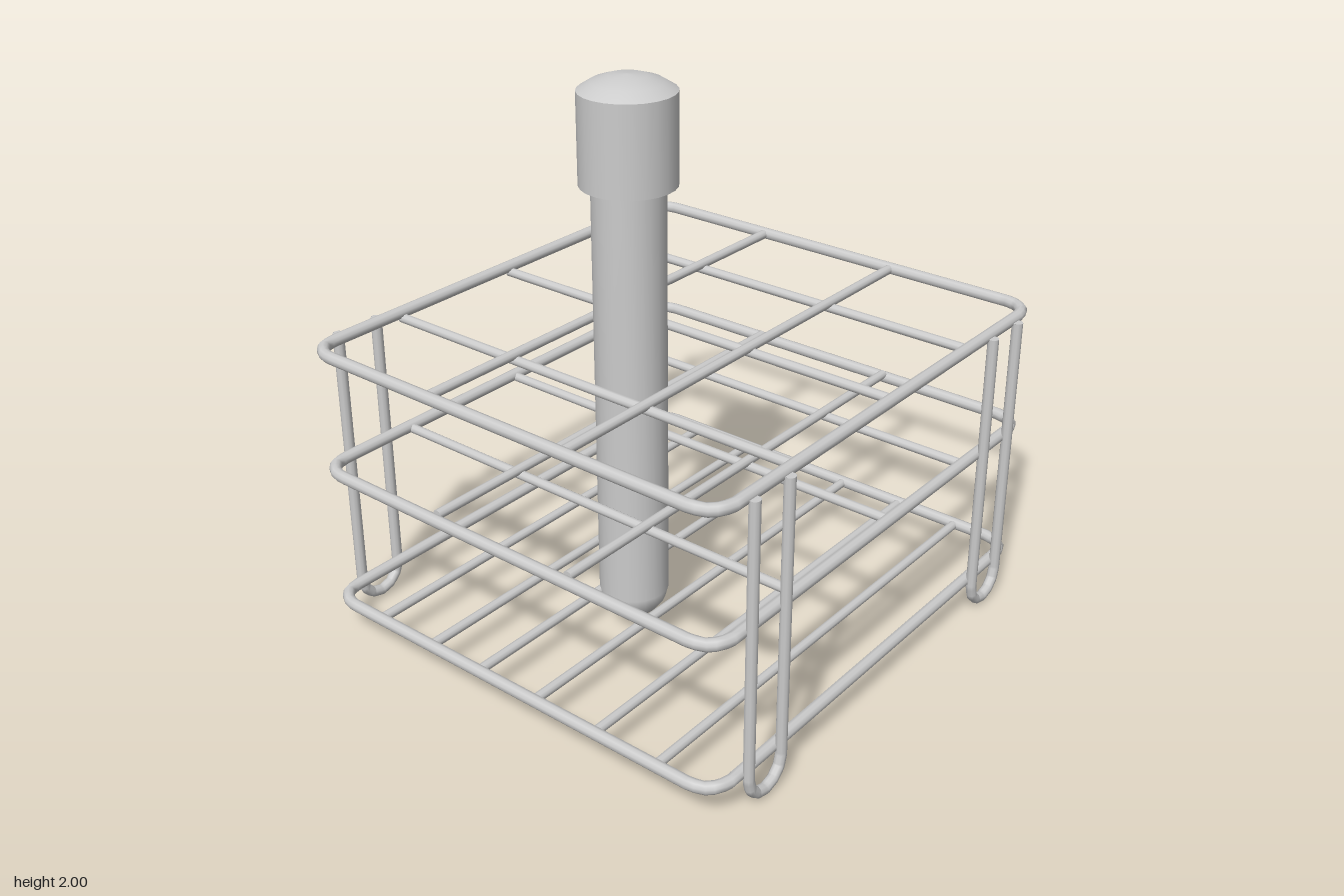
import * as THREE from 'three';

const material = new THREE.MeshStandardMaterial({ color: 0xcccccc, side: THREE.DoubleSide });

function addMesh(parent, name, geometry) {
  const mesh = new THREE.Mesh(geometry, material);
  mesh.name = name;
  parent.add(mesh);
  return mesh;
}

// Path of straight pieces joined end to end, so bends stay faceted
function polyline(points, closed = false) {
  const path = new THREE.CurvePath();
  const count = closed ? points.length : points.length - 1;
  for (let i = 0; i < count; i++) {
    path.add(new THREE.LineCurve3(points[i], points[(i + 1) % points.length]));
  }
  return path;
}

// Rectangular wire hoop with rounded corners
function hoop(parent, name, y) {
  const halfX = 0.829, halfZ = 0.886, r = 0.085;
  const points = [];
  [[1, 1], [-1, 1], [-1, -1], [1, -1]].forEach(([sx, sz], quarter) => {
    for (let i = 0; i <= 3; i++) {
      const a = (quarter + i / 3) * Math.PI / 2;
      points.push(new THREE.Vector3(
        sx * (halfX - r) + r * Math.cos(a), y, sz * (halfZ - r) + r * Math.sin(a)));
    }
  });
  const mesh = addMesh(parent, name, new THREE.TubeGeometry(polyline(points, true), 240, 0.021, 10, true));
  mesh.position.set(0.004, 0, -0.004);
}

// Straight wire along x or z
function rod(parent, name, axis, offset, y) {
  const mesh = addMesh(parent, name, new THREE.CylinderGeometry(0.017, 0.017, axis === 'x' ? 1.65 : 1.75, 10));
  if (axis === 'x') {
    mesh.rotation.z = Math.PI / 2;
    mesh.position.set(0.002, y, offset);
  } else {
    mesh.rotation.x = Math.PI / 2;
    mesh.position.set(offset, y, -0.004);
  }
}

// U-shaped wire leg on one side of the rack
function leg(parent, x, z) {
  const r = 0.083, bendY = 0.102;
  const points = [new THREE.Vector3(x, 1.075, z + r)];
  for (let i = 0; i <= 6; i++) {
    const a = Math.PI * i / 6;
    points.push(new THREE.Vector3(x, bendY - r * Math.sin(a), z + r * Math.cos(a)));
  }
  points.push(new THREE.Vector3(x, 1.075, z - r));
  addMesh(parent, 'leg', new THREE.TubeGeometry(polyline(points), 160, 0.019, 10));
  // Caps on the cut wire ends
  for (const s of [-1, 1]) {
    const cap = addMesh(parent, 'legEnd', new THREE.CircleGeometry(0.019, 10));
    cap.rotation.x = -Math.PI / 2;
    cap.position.set(x, 1.075, z + s * r);
  }
}

function lathe(parent, name, profile) {
  return addMesh(parent, name, new THREE.LatheGeometry(profile.map(([x, y]) => new THREE.Vector2(x, y)), 24));
}

export function createModel() {
  const model = new THREE.Group();
  model.name = 'testTubeRack';

  const rack = new THREE.Group();
  rack.name = 'rack';
  model.add(rack);

  hoop(rack, 'topHoop', 1.075);
  hoop(rack, 'middleHoop', 0.635);
  hoop(rack, 'bottomHoop', 0.125);

  // Upper and middle grids hold the tubes
  for (const [layer, yX, yZ] of [['top', 1.055, 1.075], ['middle', 0.63, 0.65]]) {
    for (const z of [-0.495, -0.033, 0.492]) rod(rack, layer + 'CrossRod', 'x', z, yX);
    for (const x of [-0.29, 0.27]) rod(rack, layer + 'LongRod', 'z', x, yZ);
  }

  // Bottom rods form the floor
  for (const x of [-0.6, -0.355, -0.132, 0.115, 0.37, 0.615]) rod(rack, 'floorRod', 'z', x, 0.125);

  for (const x of [-0.861, 0.859]) for (const z of [-0.668, 0.657]) leg(rack, x, z);

  // Test tube with stopper
  const tube = new THREE.Group();
  tube.name = 'testTube';
  tube.position.set(-0.009, 0, 0.24);
  model.add(tube);
  lathe(tube, 'glass', [[0, 0.068], [0.045, 0.077], [0.082, 0.105], [0.108, 0.14], [0.12, 0.185], [0.12, 1.7]]);
  lathe(tube, 'stopperSide', [[0.158, 1.65], [0.158, 1.95]]);
  lathe(tube, 'stopperTop', [[0.158, 1.95], [0.115, 1.977], [0.06, 1.995], [0, 2]]);
  lathe(tube, 'stopperUnderside', [[0.118, 1.65], [0.158, 1.65]]);

  return model;
}
